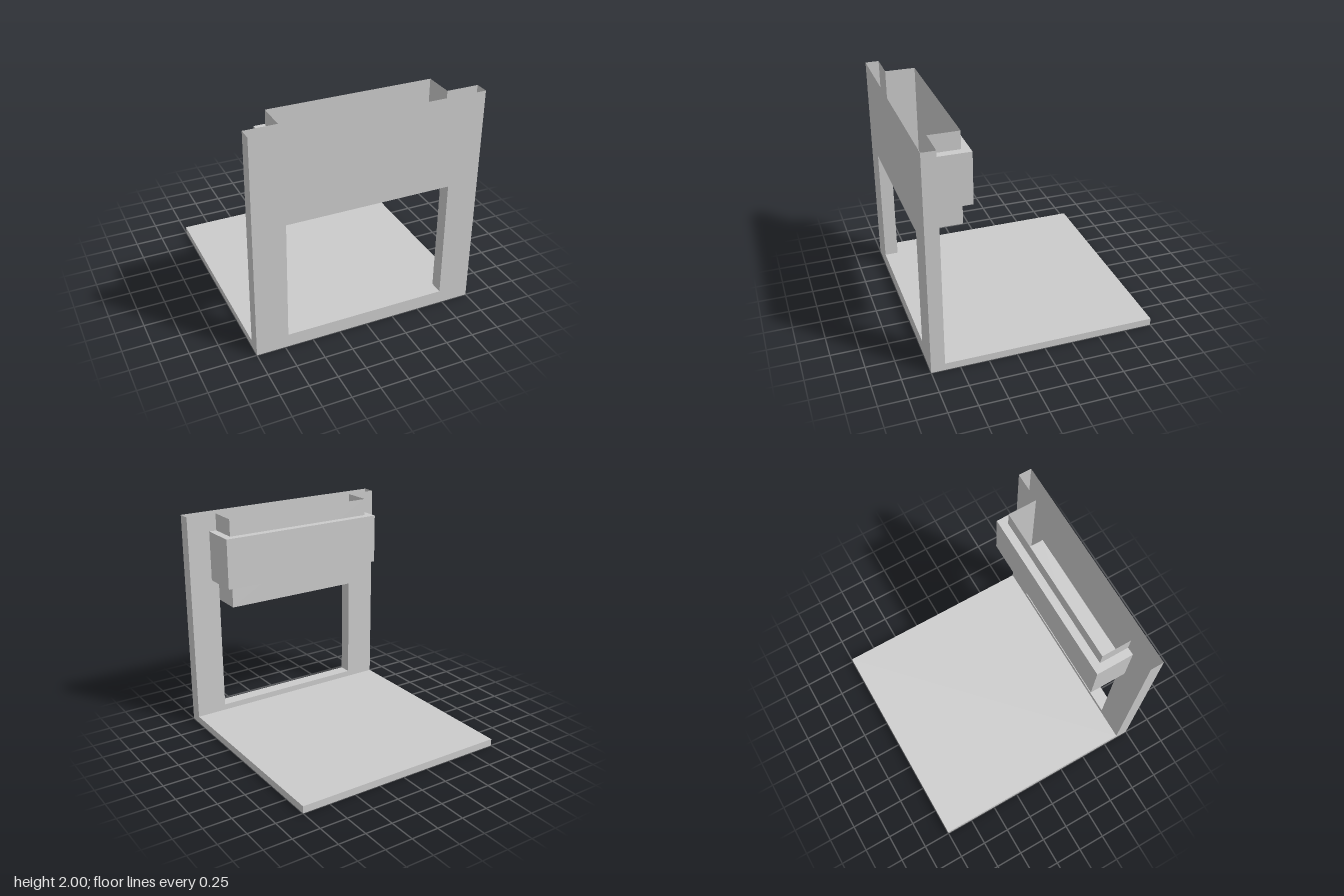
import * as THREE from 'three';

const W = 0.72, SILL = 0.12, LINTEL = 1.19, BACK = 0.88, BASE = 0.065;

const material = new THREE.MeshStandardMaterial({
  color: 0xcccccc, flatShading: true, side: THREE.DoubleSide,
});

function shapeOf(points) {
  return new THREE.Shape(points.map(([a, b]) => new THREE.Vector2(a, b)));
}

function rect(x0, y0, x1, y1) {
  return [[x0, y0], [x1, y0], [x1, y1], [x0, y1]];
}

// Upright skin along a plan path of [x, z] points
function wall(path, y0, y1) {
  const pos = [];
  for (let i = 0; i < path.length - 1; i++) {
    const [ax, az] = path[i], [bx, bz] = path[i + 1];
    pos.push(ax, y0, az, bx, y0, bz, bx, y1, bz);
    pos.push(ax, y0, az, bx, y1, bz, ax, y1, az);
  }
  const g = new THREE.BufferGeometry();
  g.setAttribute('position', new THREE.Float32BufferAttribute(pos, 3));
  g.computeVertexNormals();
  return g;
}

// Horizontal sheet from [x, z] points, facing up or down
function sheet(points, y, up) {
  const s = up ? -1 : 1;
  const g = new THREE.ShapeGeometry(shapeOf(points.map(([x, z]) => [x, s * z])));
  return g.rotateX(s * Math.PI / 2).translate(0, y, 0);
}

export function createModel() {
  const model = new THREE.Group();
  const add = (name, geometry) => {
    const mesh = new THREE.Mesh(geometry, material);
    mesh.name = name;
    model.add(mesh);
  };

  // Floor plate
  add('basePlate', new THREE.BoxGeometry(2, BASE, BACK + 1)
    .translate(0, BASE / 2, (BACK - 1) / 2));

  // Hollow front frame, open along the top
  const front = shapeOf(rect(-1, 0, 1, 2));
  front.holes.push(new THREE.Path(
    rect(-W, SILL, W, LINTEL).map(([x, y]) => new THREE.Vector2(x, y))));
  add('frameFront', new THREE.ShapeGeometry(front).translate(0, 0, 1));
  const back = shapeOf([[-1, BASE], [1, BASE], [1, 2], [W, 2],
    [W, SILL], [-W, SILL], [-W, 2], [-1, 2]]);
  add('frameBack', new THREE.ShapeGeometry(back).rotateY(Math.PI).translate(0, 0, BACK));
  add('frameLeftEnd', wall([[1, 1], [1, BACK]], 0, 2));
  add('frameRightEnd', wall([[-1, BACK], [-1, 1]], 0, 2));
  add('frameBottom', sheet(rect(-1, BACK, 1, 1), 0, false));

  // Window lining
  add('windowSill', sheet(rect(-W, BACK, W, 1), SILL, true));
  add('windowLeftJamb', wall([[W, BACK], [W, 1]], SILL, LINTEL));
  add('windowRightJamb', wall([[-W, 1], [-W, BACK]], SILL, LINTEL));

  // Open-topped box behind the frame; its floor is also the window head
  const boxBack = 0.615;
  add('boxWalls', wall([[W, BACK], [W, boxBack], [-W, boxBack], [-W, BACK]], LINTEL, 2));
  add('boxFloor', sheet(rect(-W, boxBack, W, 1), LINTEL, false));

  // Collar wrapped around the box
  const c = 0.79, cz = 0.545, y0 = 1.39, y1 = 1.845;
  const outer = [[c, BACK], [c, cz], [-c, cz], [-c, BACK]];
  const ring = [...outer, [-W, BACK], [-W, boxBack], [W, boxBack], [W, BACK]];
  add('collarWalls', wall(outer, y0, y1));
  add('collarTop', sheet(ring, y1, true));
  add('collarBottom', sheet(ring, y0, false));

  return model;
}
